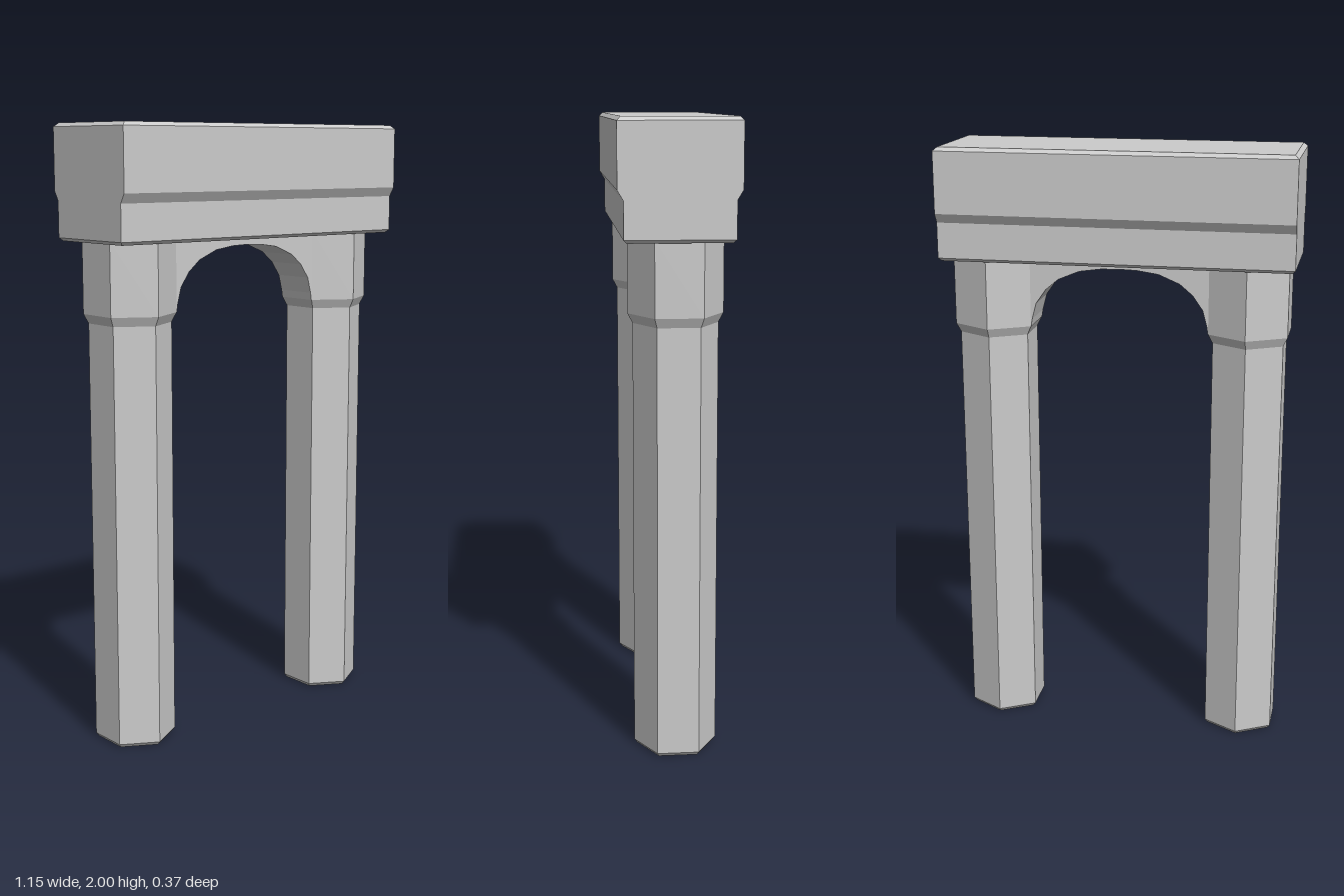
import * as THREE from 'three';

const material = new THREE.MeshStandardMaterial({ color: 0xcccccc, flatShading: true });

function part(name, geometry) {
  const mesh = new THREE.Mesh(geometry, material);
  mesh.name = name;
  return mesh;
}

// Closed solid from stacked rectangles, each [y, half width, half depth], bottom to top
function stackedBox(levels) {
  const positions = [];
  const index = [];
  for (const [y, w, d] of levels) positions.push(-w, y, d, w, y, d, w, y, -d, -w, y, -d);
  for (let i = 0; i < levels.length - 1; i++) {
    for (let j = 0; j < 4; j++) {
      const a = i * 4 + j, b = i * 4 + (j + 1) % 4;
      index.push(a, b, b + 4, a, b + 4, a + 4);
    }
  }
  const t = (levels.length - 1) * 4;
  index.push(0, 2, 1, 0, 3, 2, t, t + 1, t + 2, t, t + 2, t + 3);
  const geometry = new THREE.BufferGeometry();
  geometry.setAttribute('position', new THREE.Float32BufferAttribute(positions, 3));
  geometry.setIndex(index);
  const flat = geometry.toNonIndexed();
  flat.computeVertexNormals();
  return flat;
}

// Hexagonal pillar with chamfered foot and wider head, corners toward front and back
function pillarGeometry() {
  const profile = [
    [0, 0], [0.122, 0], [0.132, 0.012], [0.132, 1.38],
    [0.148, 1.41], [0.148, 1.645], [0, 1.645],
  ].map(([r, y]) => new THREE.Vector2(r, y));
  return new THREE.LatheGeometry(profile, 6);
}

// Arched web between the pillar heads
function archGeometry() {
  const half = [
    [-0.294, 1.41], [-0.29, 1.435], [-0.276, 1.488], [-0.243, 1.535],
    [-0.2, 1.571], [-0.13, 1.6], [-0.06, 1.61],
  ];
  const curve = [...half, [0, 1.612], ...half.map(([x, y]) => [-x, y]).reverse()];
  const outline = [[-0.32, 1.41], ...curve, [0.32, 1.41], [0.32, 1.645], [-0.32, 1.645]];
  const shape = new THREE.Shape(outline.map(([x, y]) => new THREE.Vector2(x, y)));
  const depth = 0.148;
  return new THREE.ExtrudeGeometry(shape, { depth, bevelEnabled: false }).translate(0, 0, -depth / 2);
}

export function createModel() {
  const model = new THREE.Group();
  model.name = 'archway';

  for (const side of [-1, 1]) {
    const pillar = part(side > 0 ? 'leftPillar' : 'rightPillar', pillarGeometry());
    pillar.position.x = side * 0.423;
    model.add(pillar);
  }

  model.add(part('arch', archGeometry()));

  // Lintel with stepped front and back and chamfered top and bottom rims
  model.add(part('lintel', stackedBox([
    [1.635, 0.565, 0.157], [1.645, 0.575, 0.167], [1.76, 0.575, 0.167],
    [1.79, 0.575, 0.185], [1.988, 0.575, 0.185], [2, 0.562, 0.173],
  ])));

  return model;
}
